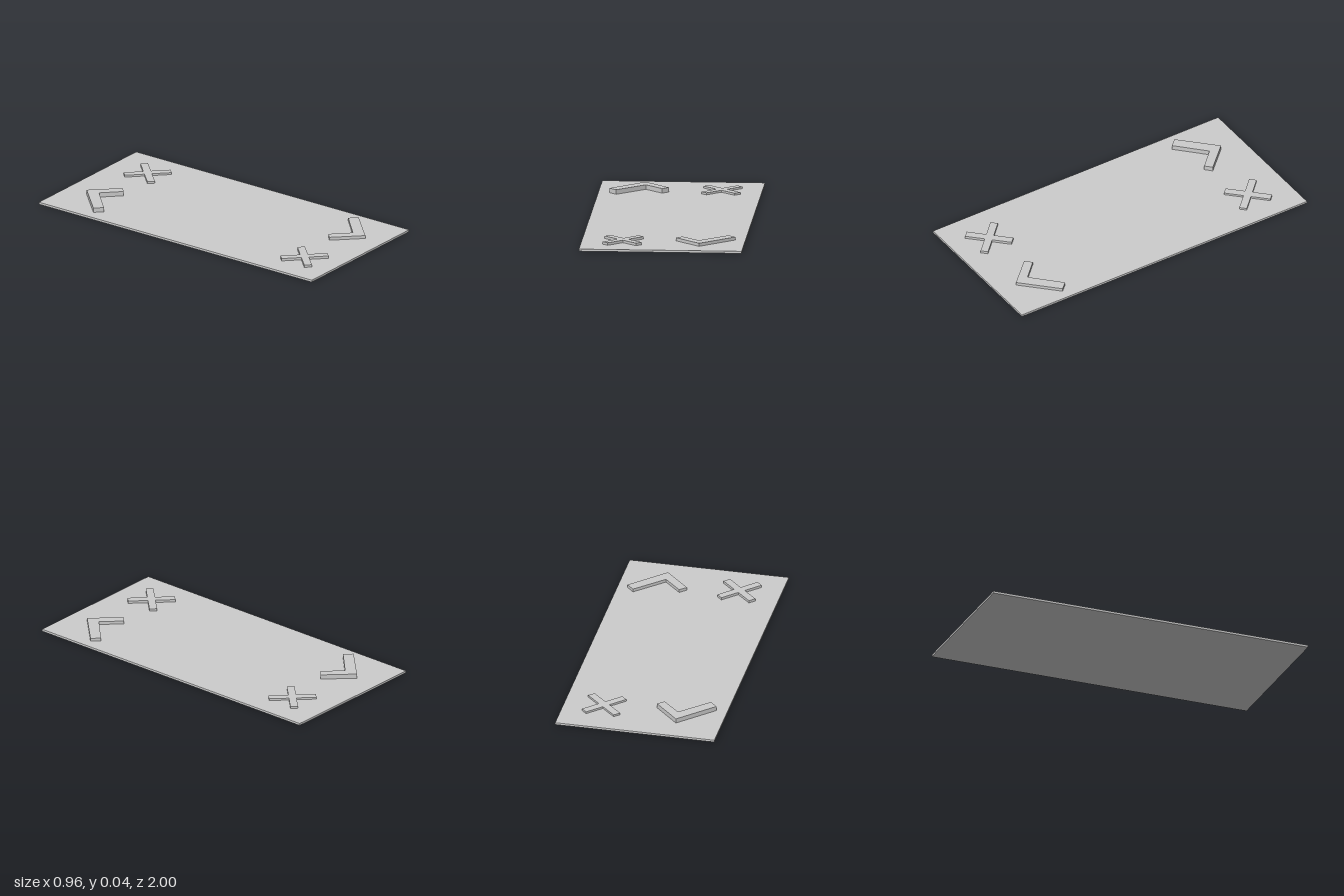
import * as THREE from 'three';

const PLATE_TOP = 0.013;

export function createModel() {
  const model = new THREE.Group();
  const material = new THREE.MeshStandardMaterial({ color: 0xcccccc, flatShading: true });

  function add(name, geometry, x, y, z, turn = 0) {
    const mesh = new THREE.Mesh(geometry, material);
    mesh.name = name;
    mesh.position.set(x, y, z);
    mesh.rotation.y = turn;
    model.add(mesh);
  }

  // Flat outline given as [x, z] points, raised from the plate to the given top
  function raised(points, top) {
    const shape = new THREE.Shape(points.map(([x, z]) => new THREE.Vector2(x, -z)));
    return new THREE.ExtrudeGeometry(shape, { depth: top - PLATE_TOP, bevelEnabled: false })
      .rotateX(-Math.PI / 2);
  }

  // Thin base plate
  add('plate', new THREE.BoxGeometry(0.96, PLATE_TOP, 2), 0, PLATE_TOP / 2, 0);

  // Tick marks, the back one turned half round
  const tick = [[-0.148, -0.154], [-0.11, -0.19], [-0.007, -0.086],
    [0.157, -0.243], [0.2, -0.198], [0, 0]];
  add('frontTick', raised(tick, 0.0315), 0.22, PLATE_TOP, 0.873);
  add('backTick', raised(tick, 0.0405), -0.214, PLATE_TOP, -0.848, Math.PI);

  // Diagonal crosses: one arm repeated four times around the centre
  const half = 0.14, w = 0.0225, cross = [];
  for (let i = 0; i < 4; i++) {
    const a = Math.PI / 4 + i * Math.PI / 2, c = Math.cos(a), s = Math.sin(a);
    for (const [u, v] of [[half, -w], [half, w], [w, w]]) cross.push([u * c - v * s, u * s + v * c]);
  }
  add('frontCross', raised(cross, 0.028), -0.235, PLATE_TOP, 0.765);
  add('backCross', raised(cross, 0.025), 0.243, PLATE_TOP, -0.74);

  return model;
}
